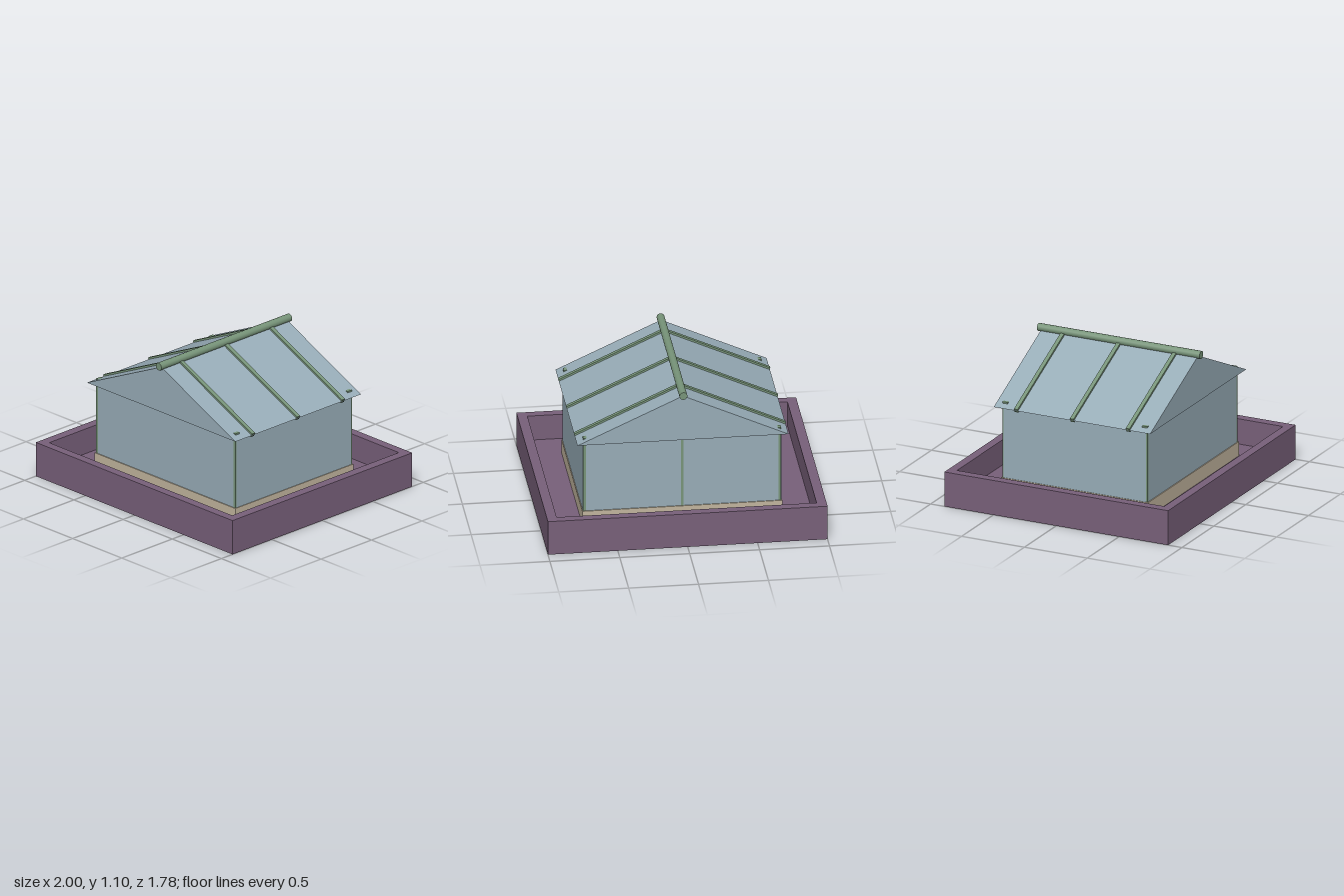
import * as THREE from 'three';

const mat = (name, color) => {
  const m = new THREE.MeshStandardMaterial({ color });
  m.name = name;
  return m;
};

export function createModel() {
  const model = new THREE.Group();
  const purple = mat('plum tray', 0x78607a);
  const blue = mat('blue grey panel', 0x98adb8);
  const green = mat('sage trim', 0x78957a);
  const tan = mat('tan plinth', 0xc2b59e);

  const add = (name, geometry, material, x = 0, y = 0, z = 0, parent = model) => {
    const mesh = new THREE.Mesh(geometry, material);
    mesh.name = name;
    mesh.position.set(x, y, z);
    parent.add(mesh);
    return mesh;
  };
  // Box spanning y0..y1, centred on x and z
  const block = (name, material, w, y0, y1, d, x = 0, z = 0) =>
    add(name, new THREE.BoxGeometry(w, y1 - y0, d), material, x, (y0 + y1) / 2, z);

  // Tray: floor and raised rim
  block('trayFloor', purple, 1.9, 0, 0.07, 1.7);
  const rim = new THREE.Shape();
  const rect = (path, x, z) => path.moveTo(-x, -z).lineTo(x, -z).lineTo(x, z).lineTo(-x, z).closePath();
  rect(rim, 1, 0.89);
  const hole = new THREE.Path();
  rect(hole, 0.93, 0.825);
  rim.holes.push(hole);
  const rimGeometry = new THREE.ExtrudeGeometry(rim, { depth: 0.26, bevelEnabled: false });
  rimGeometry.rotateX(-Math.PI / 2);
  add('trayRim', rimGeometry, purple);

  // Plinth under the house
  block('plinth', tan, 1.43, 0.07, 0.177, 1.17);

  // Walls, leaving a notch at each corner for the posts
  block('frontAndBackWalls', blue, 1.38, 0.177, 0.715, 1.156);
  block('sideWalls', blue, 1.42, 0.177, 0.715, 1.132);

  // Corner posts, whose tops just break through the roof
  for (const sx of [-1, 1])
    for (const sz of [-1, 1])
      block('cornerPost', green, 0.04, 0.177, 0.748, 0.042, sx * 0.688, sz * 0.556);

  // Thin centre strip on the back wall
  block('backCentreStrip', green, 0.016, 0.177, 0.715, 0.002, 0, -0.578);

  // Solid gable roof
  const eaveX = 0.755, eaveY = 0.715, apexY = 1.062, roofZ = 0.622;
  const gable = new THREE.Shape();
  gable.moveTo(-eaveX, eaveY).lineTo(eaveX, eaveY).lineTo(0, apexY).closePath();
  const roof = new THREE.ExtrudeGeometry(gable, { depth: roofZ * 2, bevelEnabled: false });
  add('roof', roof, blue, 0, 0, -roofZ);

  // Battens running down both slopes
  const rise = apexY - eaveY;
  const slope = Math.atan2(rise, eaveX);
  for (const side of [-1, 1])
    for (const z of [-0.445, 0, 0.445]) {
      const batten = add('roofBatten', new THREE.BoxGeometry(Math.hypot(eaveX, rise), 0.03, 0.03),
        green, side * (eaveX / 2 - 0.003), (eaveY + apexY) / 2, z);
      batten.rotation.z = -side * slope;
    }

  // Ridge pole
  const ridge = new THREE.CylinderGeometry(0.029, 0.029, 1.294, 12);
  ridge.rotateX(Math.PI / 2);
  add('ridgePole', ridge, green, 0, 1.072, 0);

  return model;
}
